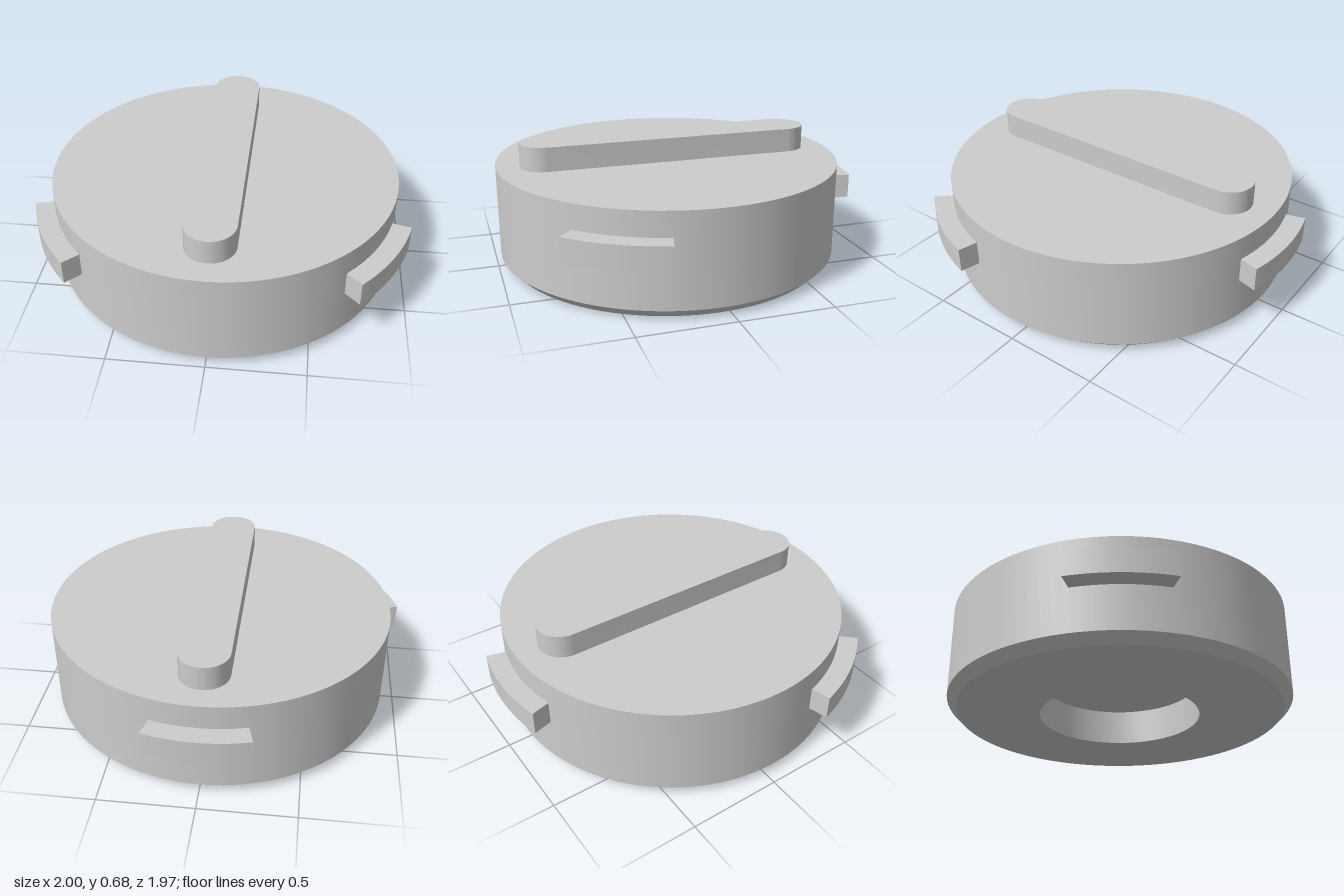
import * as THREE from 'three';
import { toCreasedNormals } from 'three/addons/utils/BufferGeometryUtils.js';

const RADIUS = 0.932, TOP = 0.545, CENTRE_Z = 0.048;

// Extrude a plan-view shape upward from y0 to y1
function slab(shape, y0, y1) {
  const g = new THREE.ExtrudeGeometry(shape, { depth: y1 - y0, bevelEnabled: false, curveSegments: 24 });
  g.rotateX(-Math.PI / 2).translate(0, y0, 0);
  return toCreasedNormals(g, 0.5);
}

export function createModel() {
  const grey = new THREE.MeshStandardMaterial({ color: 0xcccccc });
  grey.name = 'plain grey';
  const cap = new THREE.Group();
  cap.name = 'bayonetCap';
  cap.position.z = CENTRE_Z;
  const add = (name, geometry) => {
    const mesh = new THREE.Mesh(geometry, grey);
    mesh.name = name;
    cap.add(mesh);
    return mesh;
  };

  // Round body with chamfered lower rim and a blind recess underneath
  const profile = [
    [0, 0.195], [0.433, 0.195], [0.433, 0], [RADIUS - 0.05, 0],
    [RADIUS, 0.05], [RADIUS, TOP], [0, TOP],
  ].map(([x, y]) => new THREE.Vector2(x, y));
  add('body', toCreasedNormals(new THREE.LatheGeometry(profile, 96), 0.5));

  // Finger grip with rounded ends across the top
  const r = 0.131, half = 0.807 - r;
  const grip = new THREE.Shape();
  grip.absarc(0, half, r, 0, Math.PI, false);
  grip.absarc(0, -half, r, Math.PI, Math.PI * 2, false);
  grip.closePath();
  add('grip', slab(grip, TOP - 0.01, 0.675));

  // Three curved locking lugs, 30 degrees wide
  const spread = Math.PI / 12;
  const lug = new THREE.Shape();
  lug.absarc(0, 0, 1.035, -spread, spread, false);
  lug.absarc(0, 0, RADIUS - 0.02, spread, -spread, true);
  lug.closePath();
  const lugGeometry = slab(lug, 0.285, 0.415);
  ['backLug', 'rightLug', 'leftLug'].forEach((name, i) => {
    add(name, lugGeometry).rotation.y = Math.PI / 2 + i * Math.PI * 2 / 3;
  });

  const model = new THREE.Group();
  model.name = 'cap';
  model.add(cap);
  return model;
}
